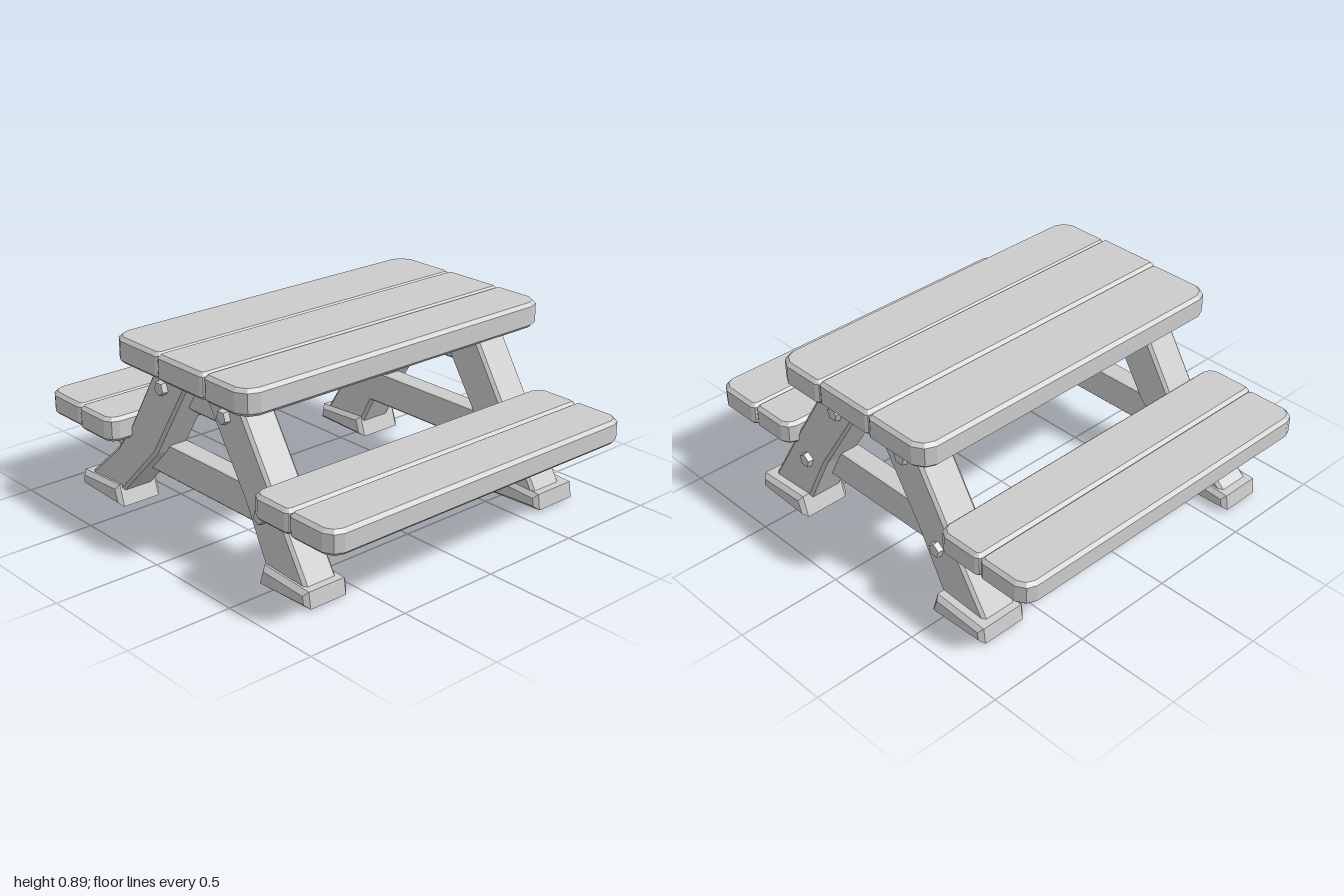
import * as THREE from 'three';

const wood = new THREE.MeshStandardMaterial({ color: 0xcccccc, flatShading: true });
wood.name = 'plain grey wood';

// Bevelled slab: outline in xy, spanning z0..z1
function slab(points, z0, z1, bevel) {
  const shape = new THREE.Shape(points.map(([x, y]) => new THREE.Vector2(x, y)));
  const geo = new THREE.ExtrudeGeometry(shape, {
    depth: z1 - z0 - 2 * bevel, bevelEnabled: bevel > 0, bevelThickness: bevel,
    bevelSize: bevel, bevelOffset: -bevel, bevelSegments: 1, steps: 1,
  });
  return geo.translate(0, 0, z0 + bevel);
}

export function createModel() {
  const group = new THREE.Group();
  const add = (name, geo) => {
    const mesh = new THREE.Mesh(geo, wood);
    mesh.name = name;
    group.add(mesh);
    return mesh;
  };

  // Plank with cut corners; cl and cr are the cuts on its -x and +x sides
  function plank(name, x0, x1, z0, z1, y0, y1, cl, cr) {
    const outline = [
      [x0 + cl, z0], [x1 - cr, z0], [x1 - cr * 0.3, z0 + cr * 0.4], [x1, z0 + cr * 1.1],
      [x1, z1 - cr * 1.1], [x1 - cr * 0.3, z1 - cr * 0.4], [x1 - cr, z1], [x0 + cl, z1],
      [x0 + cl * 0.3, z1 - cl * 0.4], [x0, z1 - cl * 1.1],
      [x0, z0 + cl * 1.1], [x0 + cl * 0.3, z0 + cl * 0.4],
    ];
    const geo = slab(outline, -y1, -y0, 0.016);
    add(name, geo.rotateX(Math.PI / 2));
  }

  // Table top
  plank('tableTopLeftPlank', -0.47, -0.125, -0.88, 0.86, 0.765, 0.885, 0.07, 0.025);
  plank('tableTopMiddlePlank', -0.13, 0.19, -0.875, 0.87, 0.768, 0.888, 0.02, 0.02);
  plank('tableTopRightPlank', 0.18, 0.46, -0.88, 0.865, 0.765, 0.885, 0.025, 0.07);

  // Benches
  plank('benchOuterPlank', -1, -0.73, -0.835, 0.87, 0.365, 0.475, 0.06, 0.025);
  plank('benchInnerPlank', -0.735, -0.485, -0.835, 0.88, 0.362, 0.478, 0.025, 0.05);
  plank('benchInnerPlank', 0.49, 0.73, -0.84, 0.88, 0.365, 0.478, 0.05, 0.025);
  plank('benchOuterPlank', 0.725, 0.99, -0.845, 0.88, 0.362, 0.475, 0.025, 0.06);

  // Leg outline for one side; splay pushes the lower end outwards
  const leg = (s, splay) => [
    [s * 0.04, 0.77], [s * 0.28, 0.77], [s * 0.49, 0.43], [s * (0.58 + splay * 0.2), 0.28],
    [s * (0.70 + splay), 0.08], [s * (0.69 + splay), 0.02],
    [s * (0.45 + splay), 0.02], [s * (0.45 + splay), 0.06], [s * 0.31, 0.34],
  ];
  const foot = (s, splay) => [
    [s * (0.42 + splay), 0], [s * (0.74 + splay), 0.01],
    [s * (0.73 + splay), 0.085], [s * (0.45 + splay), 0.1],
  ];

  for (const [end, z0, z1, f0, f1, splays] of [
    ['front', 0.595, 0.765, 0.565, 0.795, [0.14, 0]],
    ['back', -0.78, -0.6, -0.835, -0.58, [0.01, 0]],
  ]) {
    [-1, 1].forEach((s, i) => {
      add(end + 'Leg', slab(leg(s, splays[i]), z0, z1, 0.014));
      add(end + 'Foot', slab(foot(s, splays[i]), f0, f1, 0.02));
    });

    // Bench beam with slanted ends, and the cleat below the table top
    const front = end === 'front';
    const b0 = front ? 0.6 : -0.7;
    add(end + 'BenchBeam', slab([
      [-0.60, 0.21], [0.58, 0.21], [0.66, 0.25], [0.79, 0.37], [-0.85, 0.37], [-0.69, 0.25],
    ], b0, b0 + 0.1, 0.008));
    add(end + 'TopCleat', slab([
      [-0.15, 0.58], [0.15, 0.58], [0.29, 0.77], [-0.29, 0.77],
    ], b0 + 0.01, b0 + 0.09, 0.008));

    // Pegs through the legs
    const face = front ? z1 : z0;
    const pegs = [[-0.23, 0.68], [0.2, 0.68], [0.43, 0.31]];
    if (!front) pegs.push([-0.43, 0.31]);
    for (const [x, y] of pegs) {
      const peg = add(end + 'Peg', new THREE.CylinderGeometry(0.032, 0.042, 0.05, 5));
      peg.rotation.x = front ? Math.PI / 2 : -Math.PI / 2;
      peg.position.set(x, y, face);
    }
  }

  return group;
}
